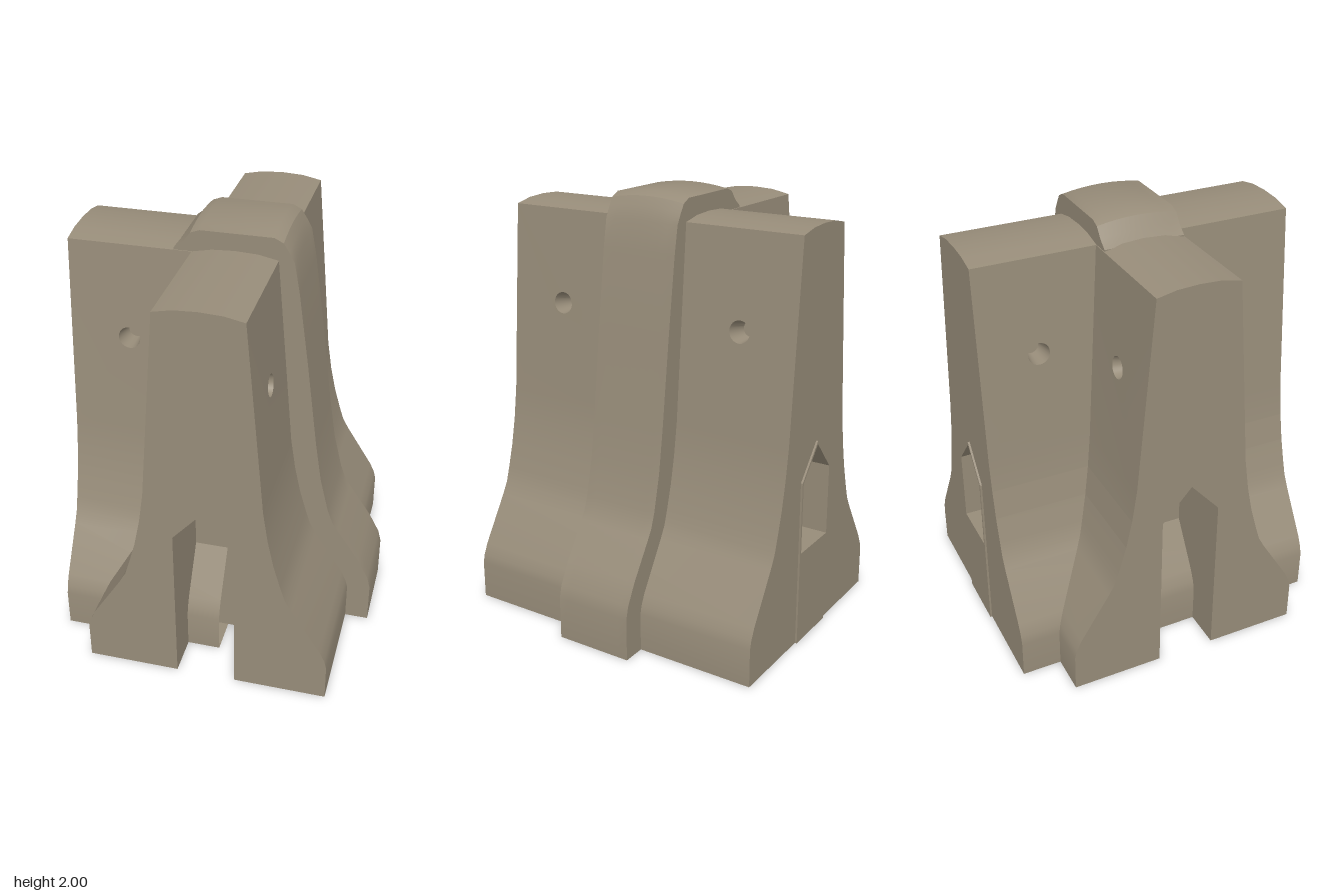
import * as THREE from 'three';
import { mergeGeometries, toCreasedNormals } from 'three/addons/utils/BufferGeometryUtils.js';

const concrete = new THREE.MeshStandardMaterial({ color: 0x978c79, side: THREE.DoubleSide });
concrete.name = 'concrete';

const V = (x, y) => new THREE.Vector2(x, y);
const mirror = (pts) => [...pts, ...pts.filter((p) => p[0] > 0).reverse().map(([x, y]) => [-x, y])];
const points = (pts) => pts.map(([x, y]) => V(x, y));

// barrier section, counter-clockwise from the bottom right
const section = points(mirror([
  [0.563, 0], [0.563, 0.18], [0.553, 0.22], [0.53, 0.27], [0.395, 0.485], [0.365, 0.54], [0.343, 0.61],
  [0.312, 0.72], [0.285, 0.85], [0.263, 1.0], [0.188, 1.882], [0.1, 1.9], [0, 1.905],
]));
// pointed slot in the ends, and the pocket above the connecting plate
const slot = points(mirror([[0.137, 0], [0.137, 0.79], [0, 0.945]]));
const pocket = points(mirror([[0.127, 0.45], [0.127, 0.785], [0, 0.93]]));
const SLOT_DEPTH = 0.35, HOLE_Y = 1.45, HOLE_R = 0.05;

// flat strip over the section edge a-b, from z0 to z1, with optional lifting holes
function strip(a, b, z0, z1, holes = []) {
  const d = b.clone().sub(a), len = d.length();
  d.normalize();
  const shape = new THREE.Shape(points([[0, z0], [len, z0], [len, z1], [0, z1]]));
  const parts = [];
  const s = ((HOLE_Y - a.y) / (b.y - a.y)) * len;
  for (const z of holes) {
    const ring = new THREE.Path();
    ring.absarc(s, z, HOLE_R, 0, Math.PI * 2, true);
    shape.holes.push(ring);
    const cup = new THREE.LatheGeometry(points([[0, -0.1], [0.035, -0.1], [HOLE_R, 0]]), 24);
    parts.push(cup.rotateX(Math.PI / 2).translate(s, z, 0));
  }
  parts.push(new THREE.ShapeGeometry(shape, 12));
  const frame = new THREE.Matrix4().makeBasis(
    new THREE.Vector3(d.x, d.y, 0), new THREE.Vector3(0, 0, 1), new THREE.Vector3(d.y, -d.x, 0),
  ).setPosition(a.x, a.y, 0);
  return parts.map((g) => g.applyMatrix4(frame));
}

// flat plate across the barrier at z, facing +z or -z
function cap(outline, z, facing, hole) {
  const shape = new THREE.Shape(outline);
  if (hole) shape.holes.push(new THREE.Path(hole));
  const g = new THREE.ShapeGeometry(shape);
  if (facing < 0) g.rotateY(Math.PI);
  return g.translate(0, 0, z);
}

// strips along a list of points
function sweep(pts, z0, z1, holes = []) {
  const parts = [];
  for (let i = 0; i + 1 < pts.length; i++) {
    const a = pts[i], b = pts[i + 1];
    const onWall = Math.min(a.y, b.y) < HOLE_Y - 0.1 && Math.max(a.y, b.y) > HOLE_Y + 0.1;
    parts.push(...strip(a, b, z0, z1, onWall ? holes : []));
  }
  return parts;
}

// one barrier length along z: slot at the far end, optional pocket at the near end
function barrier(name, z0, z1, holes, pocketed) {
  const inner = z1 - SLOT_DEPTH, w = section[0].x, n = slot[0].x;
  const parts = sweep(section, z0, z1, holes);
  // slotted end, slot lining and slot back wall
  const reversedSlot = [...slot].reverse();
  parts.push(cap([...section, ...reversedSlot], z1, 1));
  parts.push(...sweep(reversedSlot, inner, z1), cap(slot, inner, 1));
  // near end
  if (pocketed) {
    const rev = [...pocket, pocket[0]].reverse();
    parts.push(cap(section, z0, -1, pocket));
    parts.push(...sweep(rev, z0, z0 + 0.3), cap(pocket, z0 + 0.3, -1));
  }
  // underside
  const base = new THREE.Shape(points([
    [-w, z0], [w, z0], [w, z1], [n, z1], [n, inner], [-n, inner], [-n, z1], [-w, z1],
  ]));
  parts.push(new THREE.ShapeGeometry(base).rotateX(Math.PI / 2));
  const geo = mergeGeometries(parts.map((g) => g.toNonIndexed()));
  const mesh = new THREE.Mesh(toCreasedNormals(geo, 0.5), concrete);
  mesh.name = name;
  return mesh;
}

// raised middle band, with a slightly crowned top
function middleBand() {
  const outline = points([
    [-0.235, 0], [0.705, 0], [0.705, 0.2], [0.69, 0.26], [0.64, 0.355], [0.53, 0.52], [0.505, 0.56], [0.48, 0.63],
    [0.44, 0.8], [0.41, 1.0], [0.36, 1.4], [0.312, 1.75], [0.288, 1.88], [0.265, 1.94], [0.24, 1.98],
    [0.2, 2.0], [-0.12, 2.0], [-0.16, 1.985], [-0.195, 1.94], [-0.235, 1.89],
  ]);
  const half = 0.185;
  const geo = new THREE.ExtrudeGeometry(new THREE.Shape(outline), { depth: half * 2, steps: 8, bevelEnabled: false });
  geo.translate(0, 0, -half);
  const p = geo.attributes.position;
  for (let i = 0; i < p.count; i++) {
    if (p.getY(i) > 1.9) p.setY(i, p.getY(i) - 0.018 * (p.getZ(i) / half) ** 2);
  }
  const mesh = new THREE.Mesh(toCreasedNormals(geo, 0.5), concrete);
  mesh.name = 'middleBand';
  mesh.position.z = 0.005;
  return mesh;
}

export function createModel() {
  const model = new THREE.Group();
  model.name = 'barrierJunction';

  const main = barrier('mainBarrier', -0.74, 0.75, [-0.47, 0.47], true);
  main.position.x = 0.033;

  const side = barrier('sideBarrier', -0.05, 0.71, [0.44], false);
  side.rotation.y = -Math.PI / 2;
  side.position.z = 0.005;

  // thin connecting plate framing the pocket
  const plateShape = new THREE.Shape(slot);
  plateShape.holes.push(new THREE.Path(pocket));
  const plate = new THREE.Mesh(
    new THREE.ExtrudeGeometry(plateShape, { depth: 0.009, bevelEnabled: false }), concrete);
  plate.name = 'connectingPlate';
  plate.position.set(0.033, 0, -0.749);

  model.add(main, side, middleBand(), plate);
  return model;
}
